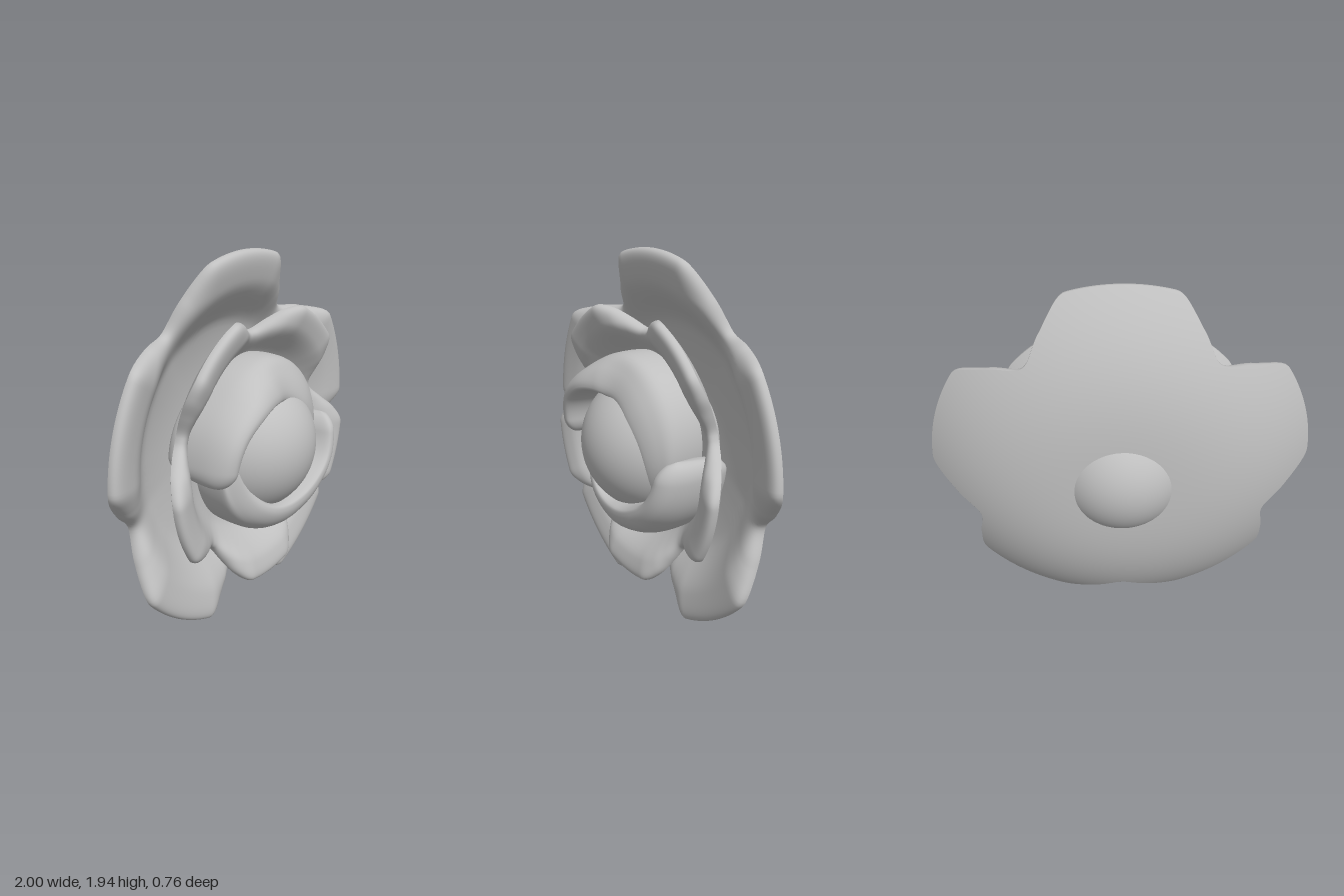
import * as THREE from 'three';

const { smoothstep, degToRad } = THREE.MathUtils;
const CENTER_Y = 0.96;

const petalMaterial = new THREE.MeshStandardMaterial({ color: 0xc0c0c0 });
petalMaterial.name = 'plain grey';

// Smooth surface from a grid of points; u may wrap around
function loft(nu, nv, wrapU, point) {
  const pos = [], index = [];
  const rows = wrapU ? nu : nu + 1;
  for (let i = 0; i < rows; i++)
    for (let j = 0; j <= nv; j++) pos.push(...point(i / nu, j / nv));
  for (let i = 0; i < nu; i++)
    for (let j = 0; j < nv; j++) {
      const a = i * (nv + 1) + j;
      const b = ((i + 1) % rows) * (nv + 1) + j;
      index.push(a, b, b + 1, a, b + 1, a + 1);
    }
  const g = new THREE.BufferGeometry();
  g.setAttribute('position', new THREE.Float32BufferAttribute(pos, 3));
  g.setIndex(index);
  g.computeVertexNormals();
  return g;
}

// Shallow bowl of five petals with puffy rims, one petal pointing straight up.
// The outline drops at each petal's corner, then slopes on into the notch.
function petalRing([cornerStart, cornerEnd, notchStart, notchEnd]) {
  const outline = (deg) => {
    const p = Math.abs(((deg + 18) % 72) - 36); // degrees from the petal's middle
    return 1 - 0.09 * smoothstep(p, cornerStart, cornerEnd)
      - 0.11 * smoothstep(p, notchStart, notchEnd);
  };
  return loft(300, 80, true, (u, v) => {
    const deg = u * 360, a = degToRad(deg);
    const s = Math.sin(v * Math.PI); // centre -> rim -> centre
    const r = s * outline(deg);
    let z = -0.29 + 0.28 * r ** 3;
    if (v > 0.5) {
      const thick = 0.06 + 0.115 * smoothstep(r, 0.6, 0.85);
      z += thick * Math.sqrt(Math.max(0, 1 - s ** 4.5));
    }
    return [r * Math.cos(a), r * Math.sin(a), z];
  });
}

// Petal curled around the bud; keys are [degrees, outer radius, ridge radius, ridge z]
function curledPetal(keys) {
  const curve = (f) => new THREE.CatmullRomCurve3(keys.map(f), false, 'catmullrom', 0.5);
  const radii = curve((k) => new THREE.Vector3(k[0], k[1], k[2]));
  const heights = curve((k) => new THREE.Vector3(k[0], k[3], 0));
  const sections = new Map();
  const sectionAt = (t) => {
    if (!sections.has(t)) {
      const { x: deg, y: ro, z: rr } = radii.getPoint(t);
      const zr = heights.getPoint(t).y;
      const pts = [
        [rr - 0.05, -0.1], [rr - 0.04, zr - 0.06], [rr, zr],
        [(ro + rr) / 2 + 0.02, zr - 0.045], [ro, 0.12], [ro - 0.03, -0.1],
      ].map(([r, z]) => new THREE.Vector3(r, z, 0));
      const loop = new THREE.CatmullRomCurve3(pts, true, 'catmullrom', 0.5);
      sections.set(t, { deg, mid: (ro + rr) / 2 - 0.02, loop });
    }
    return sections.get(t);
  };
  return loft(110, 36, false, (u, v) => {
    // rounded tip at the start, tail buried in the bud
    const t = u * u * 0.25 + u * 0.75;
    const { deg, mid, loop } = sectionAt(t);
    const p = loop.getPoint(v % 1);
    const tip = Math.sqrt(Math.max(0, 1 - Math.max(0, 1 - t / 0.06) ** 2));
    const r = mid + (p.x - mid) * tip;
    const z = 0.18 + (p.y - 0.18) * tip;
    const a = degToRad(deg);
    return [r * Math.cos(a), r * Math.sin(a), z];
  });
}

export function createModel() {
  const model = new THREE.Group();
  model.name = 'flower';
  const add = (name, geometry) => {
    const mesh = new THREE.Mesh(geometry, petalMaterial);
    mesh.name = name;
    mesh.position.y = CENTER_Y;
    model.add(mesh);
    return mesh;
  };

  // Two staggered rings of petals
  add('outerPetals', petalRing([15, 25.5, 22, 36]));
  const inner = add('innerPetals', petalRing([12, 26, 20, 35]));
  inner.scale.set(0.755, 0.755, 0.95);
  inner.rotation.z = Math.PI / 5;
  inner.position.z = 0.15;

  // Round bud, showing on the back as well
  add('bud', new THREE.SphereGeometry(0.378, 64, 40));

  // Two petals wrapped around the bud, each blending into it at the tail
  add('upperCurledPetal', curledPetal([
    [187, 0.54, 0.46, 0.27], [160, 0.52, 0.45, 0.3], [135, 0.49, 0.39, 0.31],
    [110, 0.485, 0.33, 0.285], [85, 0.48, 0.29, 0.255], [45, 0.455, 0.26, 0.265],
    [0, 0.405, 0.28, 0.24], [-40, 0.37, 0.3, 0.19],
  ]));
  add('lowerCurledPetal', curledPetal([
    [8, 0.54, 0.46, 0.27], [-20, 0.53, 0.43, 0.3], [-45, 0.5, 0.37, 0.31],
    [-70, 0.47, 0.335, 0.305], [-90, 0.465, 0.325, 0.295], [-125, 0.44, 0.32, 0.27],
    [-160, 0.405, 0.31, 0.215], [-205, 0.37, 0.31, 0.17],
  ]));
  return model;
}
